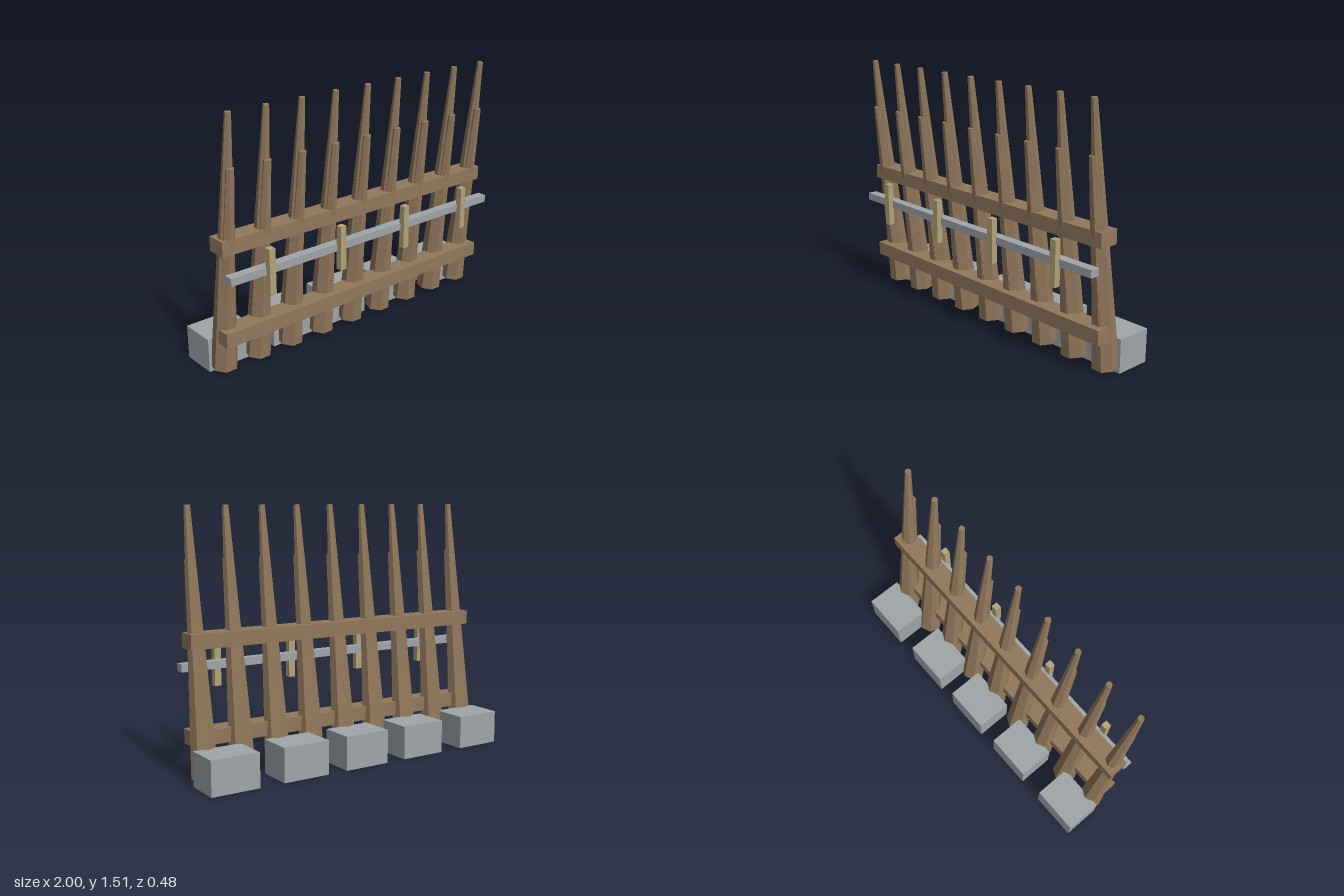
import * as THREE from 'three';

const wood = new THREE.MeshStandardMaterial({ color: 0x92785c });
wood.name = 'wood';
const stone = new THREE.MeshStandardMaterial({ color: 0xa0a5a8 });
stone.name = 'grey';
const paleWood = new THREE.MeshStandardMaterial({ color: 0xb3a379 });
paleWood.name = 'paleWood';

// Box given by its limits on each axis
function box(name, material, [x0, x1], [y0, y1], [z0, z1]) {
  const mesh = new THREE.Mesh(new THREE.BoxGeometry(x1 - x0, y1 - y0, z1 - z0), material);
  mesh.position.set((x0 + x1) / 2, (y0 + y1) / 2, (z0 + z1) / 2);
  mesh.name = name;
  return mesh;
}

// Tapered seven-sided pole from a bottom point to a top point in the y-z plane, flat side forward
function pole(name, rBottom, rTop, [y0, z0], [y1, z1]) {
  const length = Math.hypot(y1 - y0, z1 - z0);
  const geometry = new THREE.CylinderGeometry(rTop, rBottom, length, 7).toNonIndexed();
  geometry.rotateY(Math.PI);
  geometry.computeVertexNormals();
  const mesh = new THREE.Mesh(geometry, wood);
  mesh.rotation.x = Math.atan2(z1 - z0, y1 - y0);
  mesh.position.set(0, (y0 + y1) / 2, (z0 + z1) / 2);
  mesh.name = name;
  return mesh;
}

export function createModel() {
  const model = new THREE.Group();
  model.name = 'stakeBarrier';

  // Row of leaning stakes, each with a shorter splint along its front
  for (let i = 0; i < 9; i++) {
    const stake = new THREE.Group();
    stake.name = 'stake';
    stake.add(pole('stakeShaft', 0.077, 0.018, [0.027, 0.007], [1.513, 0.162]));
    stake.add(pole('stakeSplint', 0.06, 0.024, [0.03, 0.02], [1.22, 0.156]));
    stake.position.x = (i - 4) * 0.2295;
    model.add(stake);
  }

  // Cross rails
  model.add(box('upperRail', wood, [-0.977, 0.977], [0.74, 0.825], [0.02, 0.14]));
  model.add(box('lowerRail', wood, [-0.977, 0.977], [0.205, 0.29], [0.02, 0.14]));

  // Front bar with its upright cleats
  model.add(box('frontBar', stone, [-0.977, 0.977], [0.6, 0.645], [0.153, 0.21]));
  for (const x of [-0.733, -0.244, 0.244, 0.733]) {
    model.add(box('cleat', paleWood, [x - 0.02, x + 0.02], [0.49, 0.755], [0.202, 0.24]));
  }

  // Footing blocks behind the stakes
  for (const x of [-0.855, -0.414, 0, 0.414, 0.855]) {
    model.add(box('footingBlock', stone, [x - 0.145, x + 0.145], [0, 0.2], [-0.24, -0.02]));
  }
  return model;
}
